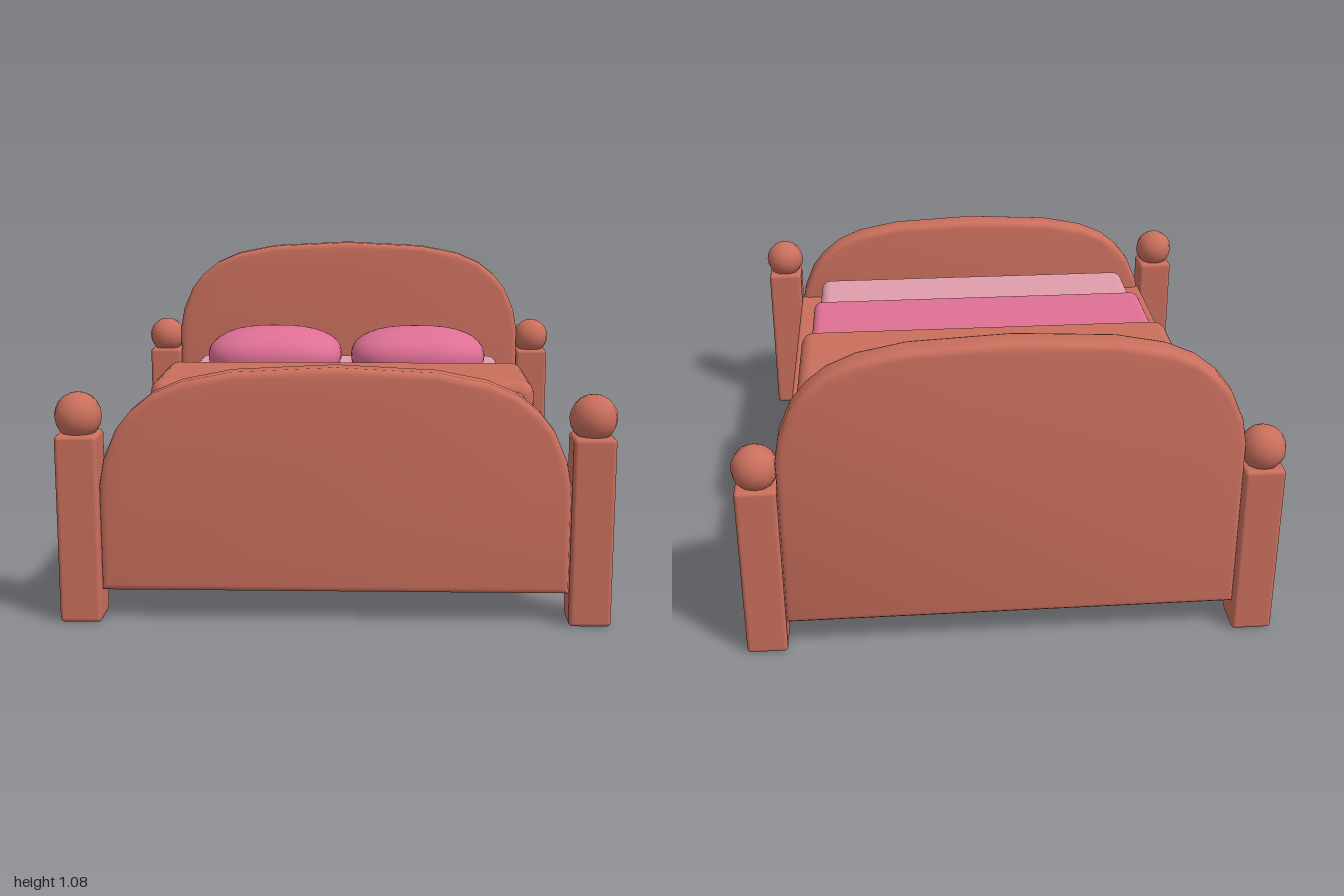
import * as THREE from 'three';
import { RoundedBoxGeometry } from 'three/addons/geometries/RoundedBoxGeometry.js';
import { toCreasedNormals } from 'three/addons/utils/BufferGeometryUtils.js';

const material = (name, color) => {
  const m = new THREE.MeshStandardMaterial({ color });
  m.name = name;
  return m;
};

// Rounded box given by its [min, max] range on each axis
function block(name, mat, [x0, x1], [y0, y1], [z0, z1], radius) {
  const mesh = new THREE.Mesh(new RoundedBoxGeometry(x1 - x0, y1 - y0, z1 - z0, 3, radius), mat);
  mesh.position.set((x0 + x1) / 2, (y0 + y1) / 2, (z0 + z1) / 2);
  mesh.name = name;
  return mesh;
}

// Arched board with softened edges; the arch is measured down from its top
function archedBoard(name, mat, top, z) {
  const b = 0.022, depth = 0.104;
  const arch = [[0.745, 0.36], [0.73, 0.28], [0.69, 0.19], [0.645, 0.135], [0.58, 0.085], [0.49, 0.047], [0.33, 0.016], [0, 0]];
  const fit = (x, drop) => new THREE.Vector2(x * (0.745 - b) / 0.745, top - b - drop);
  const right = arch.map(([x, d]) => fit(x, d));
  const left = arch.slice(0, -1).reverse().map(([x, d]) => fit(-x, d));
  const shape = new THREE.Shape([
    new THREE.Vector2(b - 0.745, 0.1 + b), new THREE.Vector2(0.745 - b, 0.1 + b), ...right, ...left,
  ]);
  const geo = new THREE.ExtrudeGeometry(shape, {
    depth: depth - 2 * b, bevelEnabled: true, bevelThickness: b, bevelSize: b, bevelSegments: 3,
  });
  geo.translate(0, 0, b - depth / 2);
  const mesh = new THREE.Mesh(toCreasedNormals(geo, 0.7), mat);
  mesh.position.z = z;
  mesh.name = name;
  return mesh;
}

// Plump cushion: a sphere pushed out towards a rounded rectangle in plan
function pillowGeometry(hx, hy, hz) {
  const geo = new THREE.SphereGeometry(1, 32, 20);
  const p = geo.attributes.position;
  for (let i = 0; i < p.count; i++) {
    const x = p.getX(i), y = p.getY(i), z = p.getZ(i);
    const r = Math.hypot(x, z);
    const plan = r > 1e-5 ? r / Math.pow(Math.abs(x) ** 2.9 + Math.abs(z) ** 2.9, 1 / 2.9) : 1;
    const side = 1 / Math.pow(r ** 2.3 + Math.abs(y) ** 2.3, 1 / 2.3);
    p.setXYZ(i, x * plan * side * hx, y * side * hy, z * plan * side * hz);
  }
  geo.computeVertexNormals();
  // Keep the seam and the poles smooth
  const n = geo.attributes.normal, row = 33;
  for (let j = 0; j <= 20; j++) {
    const a = j * row, b = a + 32;
    if (j === 0 || j === 20) {
      for (let i = a; i <= b; i++) n.setXYZ(i, 0, j ? -1 : 1, 0);
    } else {
      const v = new THREE.Vector3().fromBufferAttribute(n, a).add(new THREE.Vector3().fromBufferAttribute(n, b)).normalize();
      n.setXYZ(a, v.x, v.y, v.z);
      n.setXYZ(b, v.x, v.y, v.z);
    }
  }
  return geo;
}

export function createModel() {
  const wood = material('warm wood', 0xca6f5d);
  const sheet = material('pale pink sheet', 0xde9daa);
  const pink = material('pink fabric', 0xdf7095);
  const bed = new THREE.Group();
  bed.name = 'bed';

  // Frame and end boards
  bed.add(
    block('bedFrame', wood, [-0.745, 0.745], [0.16, 0.5], [-0.89, 0.89], 0.012),
    archedBoard('headboard', wood, 1.08, -0.922),
    archedBoard('footboard', wood, 0.825, 0.918),
  );

  // Corner posts with round knobs
  const knob = new THREE.SphereGeometry(0.076, 12, 10);
  for (const sx of [-1, 1]) {
    for (const sz of [-1, 1]) {
      const x = sx * 0.811, z = sz * 0.922;
      bed.add(block('post', wood, [x - 0.067, x + 0.067], [0, 0.61], [z - 0.067, z + 0.067], 0.014));
      const ball = new THREE.Mesh(knob, wood);
      ball.position.set(x, 0.664, z);
      ball.name = 'postKnob';
      bed.add(ball);
    }
  }

  // Mattress and covers
  bed.add(
    block('mattress', sheet, [-0.655, 0.655], [0.42, 0.587], [-0.87, 0.865], 0.04),
    block('blanket', pink, [-0.677, 0.677], [0.42, 0.611], [0, 0.566], 0.035),
    block('foldedCover', wood, [-0.712, 0.712], [0.44, 0.647], [-0.31, 0.184], 0.05),
  );

  // Pillows
  const pillow = pillowGeometry(0.28, 0.118, 0.216);
  for (const sx of [-1, 1]) {
    const mesh = new THREE.Mesh(pillow, pink);
    mesh.position.set(sx * 0.3, 0.633, -0.575);
    mesh.name = 'pillow';
    bed.add(mesh);
  }
  return bed;
}
